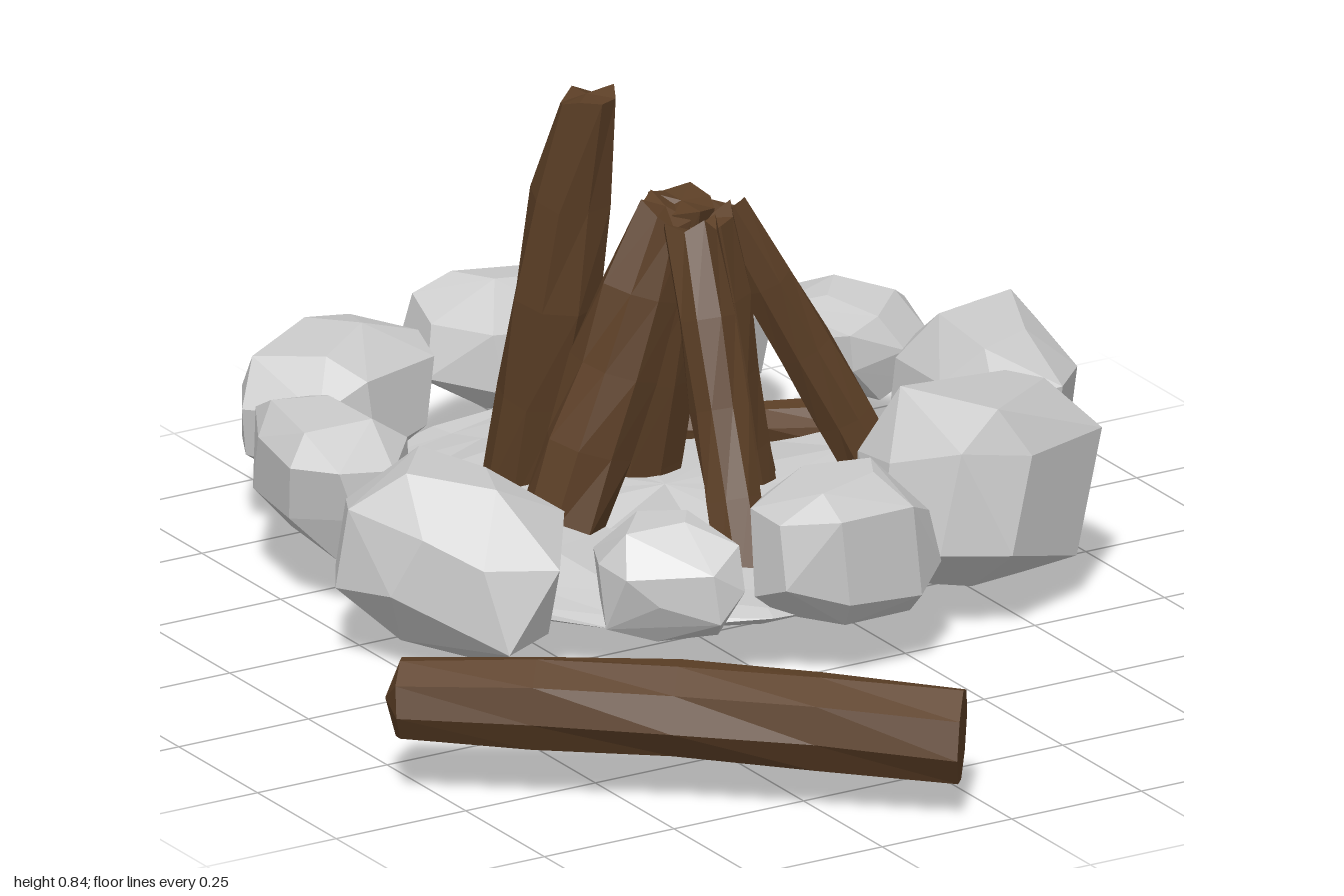
import * as THREE from 'three';
import { ConvexGeometry } from 'three/addons/geometries/ConvexGeometry.js';

const stoneMat = new THREE.MeshStandardMaterial({ color: 0xcccccc, flatShading: true });
const woodMat = new THREE.MeshStandardMaterial({ color: 0x5c3f26, flatShading: true });

function seeded(seed) {
  let s = seed * 7919 + 17;
  return () => (s = (s * 16807) % 2147483647) / 2147483647;
}

// Repeatable noise from a position, so shared corners stay joined (-1..1)
function noise(x, y, z, seed) {
  const q = (v) => Math.round(v * 50);
  const n = Math.sin(q(x) * 12.99 + q(y) * 78.23 + q(z) * 37.72 + seed * 5.13) * 4375.85;
  return (n - Math.floor(n)) * 2 - 1;
}

// Boulder: a block with unevenly cut edges, tipped over a little and fitted to its extents
function stone([x0, x1, y0, y1, z0, z1, yaw], seed) {
  const rand = seeded(seed + 3);
  const cut = () => 0.22 + rand() * 0.46;
  const tip = new THREE.Euler((rand() - 0.5) * 0.4, yaw, (rand() - 0.5) * 0.4, 'YXZ');
  const points = [];
  for (const sx of [-1, 1]) for (const sy of [-1, 1]) for (const sz of [-1, 1]) {
    points.push(
      new THREE.Vector3(sx, sy * cut(), sz * cut()),
      new THREE.Vector3(sx * cut(), sy, sz * cut()),
      new THREE.Vector3(sx * cut(), sy * cut(), sz)
    );
  }
  points.forEach((p) => p.multiply(new THREE.Vector3(1, 0.8, 0.75)).applyEuler(tip));
  const box = new THREE.Box3().setFromPoints(points);
  const size = box.getSize(new THREE.Vector3());
  const target = new THREE.Vector3(x1 - x0, y1 - y0, z1 - z0);
  points.forEach((p) => p.sub(box.min).divide(size).multiply(target).add(new THREE.Vector3(x0, y0, z0)));
  const mesh = new THREE.Mesh(new ConvexGeometry(points), stoneMat);
  mesh.name = 'ringStone';
  return mesh;
}

// Rough log between two points, with knobbly sides, a narrowed end and a slight bend
function log(name, from, to, r0, r1, seed, bend = [0, 0, 0], rough = 0.12) {
  const a = new THREE.Vector3(...from);
  const dir = new THREE.Vector3(...to).sub(a);
  const length = dir.length();
  const turn = new THREE.Quaternion().setFromUnitVectors(new THREE.Vector3(0, 1, 0), dir.normalize());
  const sag = new THREE.Vector3(...bend);
  const geo = new THREE.CylinderGeometry(1, 1, 1, 8, 4);
  const pos = geo.attributes.position;
  const v = new THREE.Vector3();
  for (let i = 0; i < pos.count; i++) {
    v.fromBufferAttribute(pos, i);
    const t = v.y + 0.5;
    const n = noise(v.x, v.y, v.z, seed);
    const r = (r0 + (r1 - r0) * t ** 4) * (1 + rough * n);
    const along = t * length + (t > 0.9 ? n * 0.02 : 0);
    v.set(v.x * r, along, v.z * r).applyQuaternion(turn).add(a);
    v.addScaledVector(sag, Math.sin(Math.PI * t));
    pos.setXYZ(i, v.x, v.y, v.z);
  }
  const mesh = new THREE.Mesh(geo, woodMat);
  mesh.name = name;
  return mesh;
}

// Shallow, uneven bed of ash
function ashBed() {
  const geo = new THREE.SphereGeometry(1, 14, 10);
  const pos = geo.attributes.position;
  for (let i = 0; i < pos.count; i++) {
    const [x, y, z] = [pos.getX(i), pos.getY(i), pos.getZ(i)];
    const n = noise(x, y, z, 2);
    const out = 1 + 0.05 * n;
    pos.setXYZ(i, 0.12 + x * 0.56 * out, 0.1 + y * 0.034 + n * 0.016, -0.3 + z * 0.55 * out);
  }
  const mesh = new THREE.Mesh(geo, stoneMat);
  mesh.name = 'ashBed';
  return mesh;
}

export function createModel() {
  const model = new THREE.Group();
  model.name = 'campfire';
  model.add(ashBed());

  // Ring of stones: x range, y range, z range, yaw
  const ring = new THREE.Group();
  ring.name = 'stoneRing';
  [
    [-0.02, 0.37, 0.1, 0.33, -1.0, -0.72, -0.1],
    [-0.41, -0.03, 0.09, 0.325, -0.93, -0.64, 0.5],
    [-0.53, -0.28, 0.09, 0.32, -0.67, -0.33, 1.4],
    [-0.59, -0.23, 0.02, 0.345, -0.29, 0.11, -0.7],
    [-0.27, -0.02, 0.08, 0.285, 0.04, 0.28, -0.5],
    [-0.03, 0.29, 0.1, 0.345, 0.14, 0.365, 0.1],
    [0.26, 0.7, 0.03, 0.395, -0.09, 0.3, 0.5],
    [0.58, 0.845, 0.085, 0.345, -0.43, -0.06, 1.5],
    [0.54, 0.75, 0.13, 0.3, -0.7, -0.43, -1.0],
    [0.36, 0.61, 0.09, 0.32, -0.9, -0.68, -0.6],
  ].forEach((extent, i) => ring.add(stone(extent, i)));
  model.add(ring);

  // Leaning firewood
  const pile = new THREE.Group();
  pile.name = 'firewood';
  pile.add(
    log('tallLog', [-0.035, 0.1, -0.5], [0.01, 0.825, -0.37], 0.074, 0.046, 1),
    log('backLog', [0.13, 0.015, -0.435], [0.145, 0.64, -0.29], 0.07, 0.056, 2, [0, 0, 0], 0.06),
    log('leftLog', [-0.085, 0.12, -0.285], [0.1, 0.64, -0.27], 0.074, 0.048, 3),
    log('frontLog', [0.085, 0.07, 0.02], [0.11, 0.63, -0.2], 0.05, 0.045, 4),
    log('middleLog', [0.275, 0.07, -0.27], [0.17, 0.62, -0.25], 0.052, 0.045, 5),
    log('rightLog', [0.48, 0.11, -0.2], [0.22, 0.62, -0.27], 0.05, 0.038, 6),
    log('fallenLog', [0.015, 0.14, -0.65], [0.55, 0.12, -0.425], 0.047, 0.053, 7, [0, 0, 0.005])
  );
  model.add(pile);

  // Separate log lying outside the ring
  model.add(log('outerLog', [-0.05, 0.13, 0.925], [-0.805, 0.165, 0.365], 0.084, 0.072, 8, [0.005, 0.008, -0.015], 0.06));
  return model;
}
